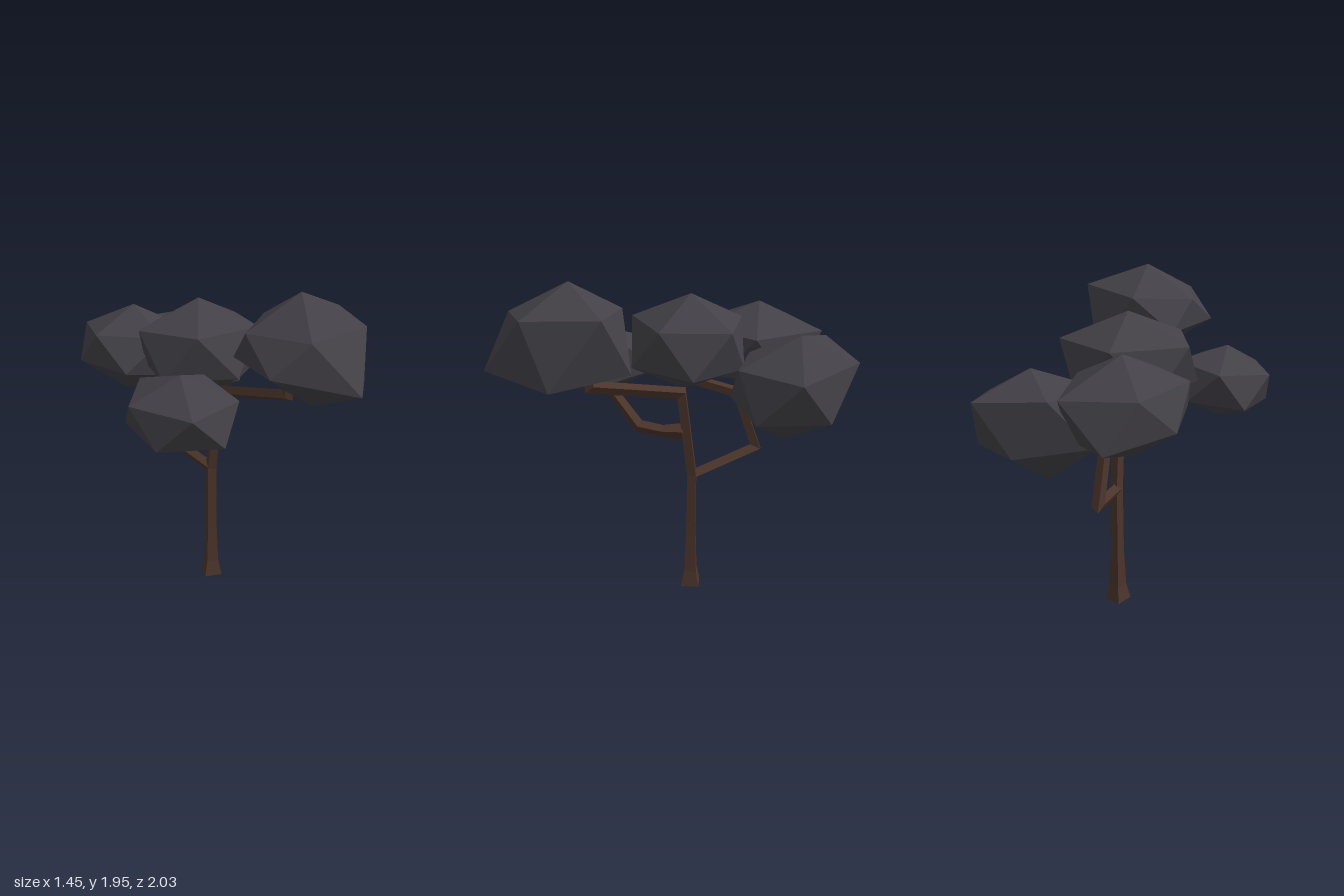
import * as THREE from 'three';
import { ConvexGeometry } from 'three/addons/geometries/ConvexGeometry.js';

const bark = new THREE.MeshStandardMaterial({ name: 'bark', color: 0x4b342b, flatShading: true });
const foliage = new THREE.MeshStandardMaterial({ name: 'foliage', color: 0x434147, flatShading: true });
const SIDES = 4, SPIN = 0.26;

// Square limb swept through nodes [x, y, z, radius] with mitred joints and closed ends
function limb(name, nodes) {
  const pts = nodes.map(n => new THREE.Vector3(n[0], n[1], n[2]));
  const dirs = pts.slice(1).map((p, i) => p.clone().sub(pts[i]).normalize());
  const ref = Math.abs(dirs[0].y) > 0.9 ? new THREE.Vector3(0, 0, 1) : new THREE.Vector3(0, 1, 0);
  const u = ref.clone().addScaledVector(dirs[0], -ref.dot(dirs[0])).normalize();
  const v = dirs[0].clone().cross(u);
  let offsets = [];
  for (let i = 0; i < SIDES; i++) {
    const a = SPIN + i / SIDES * Math.PI * 2;
    offsets.push(u.clone().multiplyScalar(Math.cos(a) * nodes[0][3]).addScaledVector(v, Math.sin(a) * nodes[0][3]));
  }
  const position = [], index = [];
  pts.forEach((p, k) => {
    if (k > 0) {
      // slide the previous ring along the segment onto the plane that halves the bend
      const d = dirs[k - 1];
      const normal = d.clone().add(dirs[k] || d).normalize();
      const grow = nodes[k][3] / nodes[k - 1][3];
      offsets = offsets.map(o => {
        const q = o.clone().multiplyScalar(grow);
        return q.addScaledVector(d, -q.dot(normal) / d.dot(normal));
      });
    }
    offsets.forEach(o => position.push(p.x + o.x, p.y + o.y, p.z + o.z));
  });
  const last = (pts.length - 1) * SIDES;
  for (let k = 0; k < last; k += SIDES) {
    for (let i = 0; i < SIDES; i++) {
      const a = k + i, b = k + (i + 1) % SIDES;
      index.push(a, b, b + SIDES, a, b + SIDES, a + SIDES);
    }
  }
  for (let i = 1; i < SIDES - 1; i++) {
    index.push(0, i + 1, i, last, last + i, last + i + 1);
  }
  const geometry = new THREE.BufferGeometry();
  geometry.setAttribute('position', new THREE.Float32BufferAttribute(position, 3));
  geometry.setIndex(index);
  geometry.computeVertexNormals();
  const mesh = new THREE.Mesh(geometry, bark);
  mesh.name = name;
  return mesh;
}

// Twenty-sided leaf clump: leaning apex and two rings of five.
// Each ring has a slope [per x, per z, lift] and lumps that scale its five corners.
const EVEN = [1, 1, 1, 1, 1], LEVEL = [0, 0, 0];
function clump({ name, center, apex, rx, rz, turn, upper = LEVEL, lower = LEVEL, upperLumps = EVEN, lowerLumps = EVEN }) {
  const top = new THREE.Vector3(...apex);
  const points = [top.clone(), top.clone().negate()];
  const addRing = (side, slope, lumps) => lumps.forEach((lump, i) => {
    const a = THREE.MathUtils.degToRad(turn + i * 72);
    const x = side * lump * 0.894 * rx * Math.cos(a);
    const z = side * lump * 0.894 * rz * Math.sin(a);
    points.push(new THREE.Vector3(x, slope[0] * x + slope[1] * z + slope[2], z).addScaledVector(top, side * 0.447));
  });
  addRing(1, upper, upperLumps);
  addRing(-1, lower, lowerLumps);
  const mesh = new THREE.Mesh(new ConvexGeometry(points), foliage);
  mesh.name = name;
  mesh.position.set(...center);
  return mesh;
}

export function createModel() {
  const tree = new THREE.Group();
  tree.name = 'tree';

  // Flared trunk that bends forward into the front branch
  tree.add(limb('trunk', [
    [0.11, 0, -0.13, 0.078], [0.11, 0.1, -0.13, 0.052], [0.11, 0.34, -0.13, 0.04],
    [0.11, 0.75, -0.13, 0.037], [0.105, 1.27, -0.06, 0.035], [0.085, 1.375, 0.48, 0.035],
    [0.085, 1.43, 0.485, 0.033],
  ]));

  // Elbowed branch at the back
  tree.add(limb('backBranch', [
    [0.11, 0.75, -0.13, 0.035], [0.11, 0.855, -0.565, 0.035],
    [0.09, 1.22, -0.43, 0.033], [0.03, 1.32, -0.16, 0.03],
  ]));

  // Curving branch on the side
  tree.add(limb('sideBranch', [
    [0.1, 1.03, -0.08, 0.05], [0.02, 1.02, 0.02, 0.036], [-0.08, 1.035, 0.13, 0.037],
    [-0.18, 1.22, 0.24, 0.033], [-0.27, 1.28, 0.28, 0.03],
  ]));

  // Leaf clumps
  [
    {
      name: 'frontClump', center: [0.05, 1.66, 0.62], apex: [0.01, 0.29, -0.05], rx: 0.42, rz: 0.42, turn: -10,
      upper: [0.08, 0, 0], upperLumps: [1.03, 0.84, 0.87, 0.85, 0.83],
      lower: [-0.2, -0.08, 0], lowerLumps: [1, 1.06, 1.12, 0.89, 1.02],
    },
    { name: 'middleClump', center: [0.03, 1.545, -0.13], apex: [0, 0.275, -0.02], rx: 0.425, rz: 0.36, turn: -13 },
    {
      name: 'sideClump', center: [-0.455, 1.35, 0.22], apex: [-0.02, 0.207, 0.02], rx: 0.31, rz: 0.36, turn: -18,
      upper: [0.1, -0.08, 0], lower: [0.1, -0.08, 0],
    },
    {
      name: 'backLeftClump', center: [0.395, 1.31, -0.61], apex: [0.03, 0.31, -0.02], rx: 0.39, rz: 0.38, turn: 27,
      upper: [-0.1, -0.15, 0.04], lower: [-0.08, -0.1, 0.05],
    },
    {
      name: 'backRightClump', center: [-0.075, 1.46, -0.645], apex: [0.03, 0.26, 0.005], rx: 0.35, rz: 0.4, turn: 28,
      upper: [-0.05, 0, 0], upperLumps: [1.05, 1, 1, 0.91, 1.15],
      lower: [-0.2, 0, 0], lowerLumps: [0.92, 1.03, 1, 1, 1.09],
    },
  ].forEach(c => tree.add(clump(c)));

  return tree;
}
